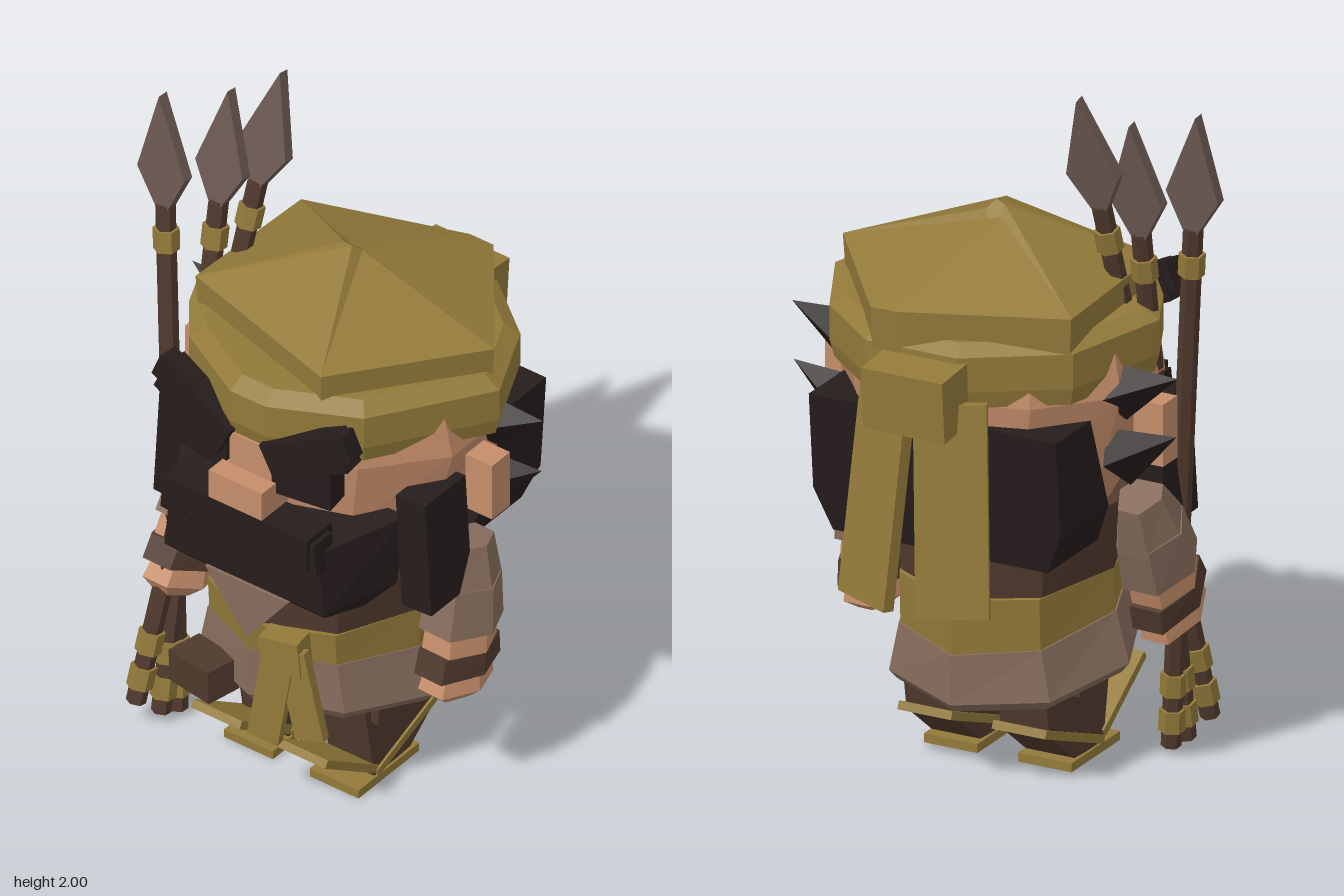
import * as THREE from 'three';

const mat = (name, color) => {
  const m = new THREE.MeshStandardMaterial({ color });
  m.name = name;
  m.flatShading = true;
  return m;
};

export function createModel() {
  const olive = mat('olive cloth', 0x937a3a);
  const dark = mat('dark hair', 0x261c1c);
  const skin = mat('skin', 0xc48d6a);
  const taupe = mat('taupe cloth', 0x866c5c);
  const brown = mat('brown leather', 0x50392d);
  const steel = mat('spear metal', 0x6c5852);

  const model = new THREE.Group();
  model.name = 'spearman';

  function add(name, geo, material, pos = [0, 0, 0], rot = [0, 0, 0], parent = model) {
    const mesh = new THREE.Mesh(geo, material);
    mesh.name = name;
    mesh.position.set(...pos);
    mesh.rotation.set(...rot);
    parent.add(mesh);
    return mesh;
  }
  const box = (name, m, size, pos, rot, parent) => add(name, new THREE.BoxGeometry(...size), m, pos, rot, parent);

  // Cross-section running front, +x, back, -x; slope raises the front
  function ring(n, y, rx, rz, zc = 0, slope = 0, turn = 0) {
    return Array.from({ length: n }, (_, i) => {
      const a = turn + (i / n) * Math.PI * 2;
      const z = zc + rz * Math.cos(a);
      return [rx * Math.sin(a), y + slope * (z - zc), z];
    });
  }
  const rect = (y, x, z0, z1) => [[-x, y, z1], [x, y, z1], [x, y, z0], [-x, y, z0]];

  // Closed faceted solid through cross-sections listed from bottom to top
  function loft(sections) {
    const out = [];
    const n = sections[0].length;
    const mid = (s) => [0, 1, 2].map((k) => s.reduce((t, p) => t + p[k], 0) / n);
    const first = sections[0], last = sections[sections.length - 1];
    for (let i = 0; i < n; i++) {
      const j = (i + 1) % n;
      for (let s = 0; s + 1 < sections.length; s++) {
        const [a, b, c, d] = [sections[s][i], sections[s][j], sections[s + 1][j], sections[s + 1][i]];
        out.push(...a, ...b, ...c, ...a, ...c, ...d);
      }
      out.push(...mid(first), ...first[j], ...first[i], ...mid(last), ...last[i], ...last[j]);
    }
    const g = new THREE.BufferGeometry();
    g.setAttribute('position', new THREE.Float32BufferAttribute(out, 3));
    g.computeVertexNormals();
    return g;
  }

  function extrude(points, depth) {
    const g = new THREE.ExtrudeGeometry(new THREE.Shape(points.map((p) => new THREE.Vector2(...p))),
      { depth, bevelEnabled: false });
    return g.translate(0, 0, -depth / 2);
  }

  // Torso, belt and skirt lean down towards the back
  const S = 0.17;
  add('torso', loft([ring(8, 0.54, 0.3, 0.345, 0.11, 0.1), ring(8, 0.78, 0.33, 0.36, 0.11, S)]), brown);
  add('belt', loft([ring(8, 0.44, 0.305, 0.355, 0.11, 0.18), ring(8, 0.575, 0.305, 0.365, 0.11, 0.08)]), olive);
  add('skirt', loft([ring(8, 0.275, 0.325, 0.34, 0.11, S), ring(8, 0.305, 0.35, 0.365, 0.11, S),
    ring(8, 0.45, 0.31, 0.36, 0.11, 0.18)]), taupe);
  add('bib', extrude([[-0.14, 0.74], [0, 0.56], [0.14, 0.74]], 0.06), taupe, [0, 0, 0.45]);
  box('pouch', brown, [0.16, 0.1, 0.11], [-0.155, 0.375, 0.465], [0, -0.2, 0.05]);
  box('sashKnot', olive, [0.12, 0.11, 0.07], [0.125, 0.565, 0.47], [0, 0.15, 0.1]);
  box('sashTail', olive, [0.095, 0.3, 0.03], [0.1, 0.42, 0.495], [0, 0.15, -0.16]);
  box('sashTail', olive, [0.09, 0.28, 0.03], [0.185, 0.45, 0.475], [0, 0.15, 0.22]);

  // Head, hair and beard
  add('head', loft([ring(10, 0.74, 0.28, 0.28, 0.02), ring(10, 0.95, 0.4, 0.37, 0.02),
    ring(10, 1.17, 0.465, 0.4, 0.02), ring(10, 1.34, 0.43, 0.39, 0.03)]), skin);
  add('backHair', loft([rect(0.71, 0.33, -0.31, -0.03), rect(0.83, 0.38, -0.33, -0.06),
    rect(1.11, 0.38, -0.355, -0.16)]), dark);
  add('beard', loft([
    [[-0.22, 0.69, 0.42], [0.22, 0.69, 0.42], [0.27, 0.69, 0.31], [-0.27, 0.69, 0.31]],
    [[-0.27, 0.76, 0.49], [0.27, 0.76, 0.49], [0.35, 0.78, 0.27], [-0.35, 0.78, 0.27]],
    [[-0.25, 0.96, 0.49], [0.25, 0.96, 0.49], [0.37, 1.0, 0.25], [-0.37, 1.0, 0.25]],
  ]), dark);
  box('moustache', dark, [0.48, 0.1, 0.11], [0, 0.97, 0.47]);
  for (const s of [-1, 1]) {
    box('moustacheTip', dark, [0.1, 0.1, 0.08], [s * 0.21, 0.95, 0.475], [0, 0, s * 0.1]);
    box('sideburn', dark, [0.1, 0.36, 0.18], [s * 0.41, 0.9, 0.185], [0, 0, s * 0.06]);
    box('ear', skin, [0.09, 0.18, 0.08], [s * 0.475, 1.04, 0.03]);
    box('eye', dark, [0.18, 0.14, 0.08], [s * 0.16, 1.15, 0.415], [0, s * 0.15, 0]);
    box('brow', dark, [0.26, 0.11, 0.07], [s * 0.185, 1.245, 0.44], [0, s * 0.1, s * 0.45]);
    box('browEnd', dark, [0.12, 0.08, 0.06], [s * 0.265, 1.3, 0.435], [0, s * 0.1, s * 0.4]);
    for (const [y, rise] of [[1.175, 0.055], [0.985, 0.075]]) {
      const tuft = new THREE.ConeGeometry(0.085, 0.2, 4);
      add('earTuft', tuft, dark, [s * 0.5, y + rise / 2, -0.06], [0, 0, -s * (Math.PI / 2 - Math.atan2(rise, 0.15))]);
    }
  }
  box('noseBridge', skin, [0.14, 0.2, 0.1], [0.005, 1.12, 0.42]);
  box('noseTip', skin, [0.18, 0.09, 0.12], [0, 1.07, 0.47]);

  // Head wrap: band, uneven dome and knot with two tails
  const outline = [[-0.06, 0.475], [0.06, 0.475], [0.3, 0.35], [0.5, 0.01], [0.38, -0.24], [0.18, -0.4],
    [-0.1, -0.4], [-0.37, -0.24], [-0.47, 0.06], [-0.4, 0.21], [-0.3, 0.34]];
  const band = (y, k) => outline.map(([x, z]) => [x * k, y + 0.05 * z, z * k]);
  add('wrapBand', loft([band(1.19, 0.97), band(1.24, 1), band(1.34, 1), band(1.37, 0.9)]), olive);
  const rim = [[0.18, 0.385], [0.46, -0.02], [0.16, -0.41], [0.08, -0.41], [-0.37, -0.25], [-0.37, 0.22]];
  const dome = (y, k) => rim.map(([x, z]) => [x * k, y + 0.05 * z, z * k]);
  add('wrapDome', loft([dome(1.32, 0.98), dome(1.445, 1), dome(1.595, 0.06)]), olive);
  box('wrapKnot', olive, [0.25, 0.18, 0.14], [0, 1.21, -0.45], [-0.08, 0, 0]);
  for (const s of [-1, 1])
    box('wrapTail', olive, [0.2, 0.6, 0.035], [s * 0.115, 0.9, -0.455], [0.12, -s * 0.4, s * 0.07]);

  // Legs on rocker soles
  const legShape = [[-0.24, 0.26], [-0.2, 0.02], [-0.04, 0.03], [0.1, 0.14], [0.12, 0.26], [0.05, 0.34], [-0.2, 0.34]];
  for (const s of [-1, 1]) {
    const x = s * 0.145;
    add('leg', extrude(legShape, 0.15), brown, [x, 0, 0], [0, Math.PI / 2, 0]);
    box('bootTop', brown, [0.2, 0.07, 0.19], [x, 0.25, 0.12]);
    box('sole', olive, [0.165, 0.026, 0.27], [x, 0.013, 0.145]);
    box('toePlank', olive, [0.165, 0.024, 0.27], [x, 0.125, 0.31], [0.59, 0, 0].map((r) => -r));
    box('heelPlank', olive, [0.165, 0.024, 0.35], [x, 0.095, 0.03], [0.37, 0, 0]);
  }

  // Arms; the hand at -x reaches forward to the spears
  for (const [s, lean, z] of [[1, 0.12, 0.04], [-1, 0.42, 0.05]]) {
    const arm = new THREE.Group();
    arm.name = s > 0 ? 'leftArm' : 'rightArm';
    arm.position.set(s * 0.42, 0.8, z);
    arm.rotation.set(-lean, 0, 0);
    model.add(arm);
    const part = (name, m, sections) =>
      add(name, loft(sections.map(([y, rx, rz]) => ring(6, y, rx, rz, 0.01, 0, 0.5))), m, [0, 0, 0], [0, 0, 0], arm);
    part('shoulder', taupe, [[-0.11, 0.1, 0.12], [0.03, 0.065, 0.085]]);
    part('sleeve', taupe, [[-0.23, 0.11, 0.135], [-0.09, 0.1, 0.115]]);
    part('upperArm', skin, [[-0.3, 0.095, 0.12], [-0.21, 0.09, 0.11]]);
    part('cuff', brown, [[-0.365, 0.095, 0.15], [-0.295, 0.095, 0.135]]);
    part('hand', skin, [[-0.455, 0.045, 0.08], [-0.42, 0.085, 0.13], [-0.36, 0.075, 0.11]]);
  }

  // Three spears crossing in the hand: foot and shaft top
  const spears = [
    [[-0.39, 0.02, 0.27], [-0.525, 1.59, 0.15]],
    [[-0.41, 0.03, 0.32], [-0.42, 1.59, 0.05]],
    [[-0.45, 0.08, 0.38], [-0.325, 1.67, 0.0]],
  ];
  const up = new THREE.Vector3(0, 1, 0);
  for (const [foot, top] of spears) {
    const a = new THREE.Vector3(...foot), dir = new THREE.Vector3(...top).sub(a);
    const len = dir.length();
    const spear = new THREE.Group();
    spear.name = 'spear';
    spear.position.copy(a);
    spear.quaternion.setFromUnitVectors(up, dir.normalize());
    model.add(spear);
    add('shaft', new THREE.CylinderGeometry(0.028, 0.028, len, 6), brown, [0, len / 2, 0], [0, 0, 0], spear);
    for (const y of [0.08, 0.19, len - 0.11])
      add('binding', new THREE.CylinderGeometry(0.037, 0.037, 0.065, 6), olive, [0, y, 0], [0, 0, 0], spear);
    add('blade', extrude([[-0.02, -0.01], [0.02, -0.01], [0.08, 0.1], [0, 0.34], [-0.08, 0.1]], 0.035),
      steel, [0, len, 0], [0, 0, 0], spear);
  }
  return model;
}
